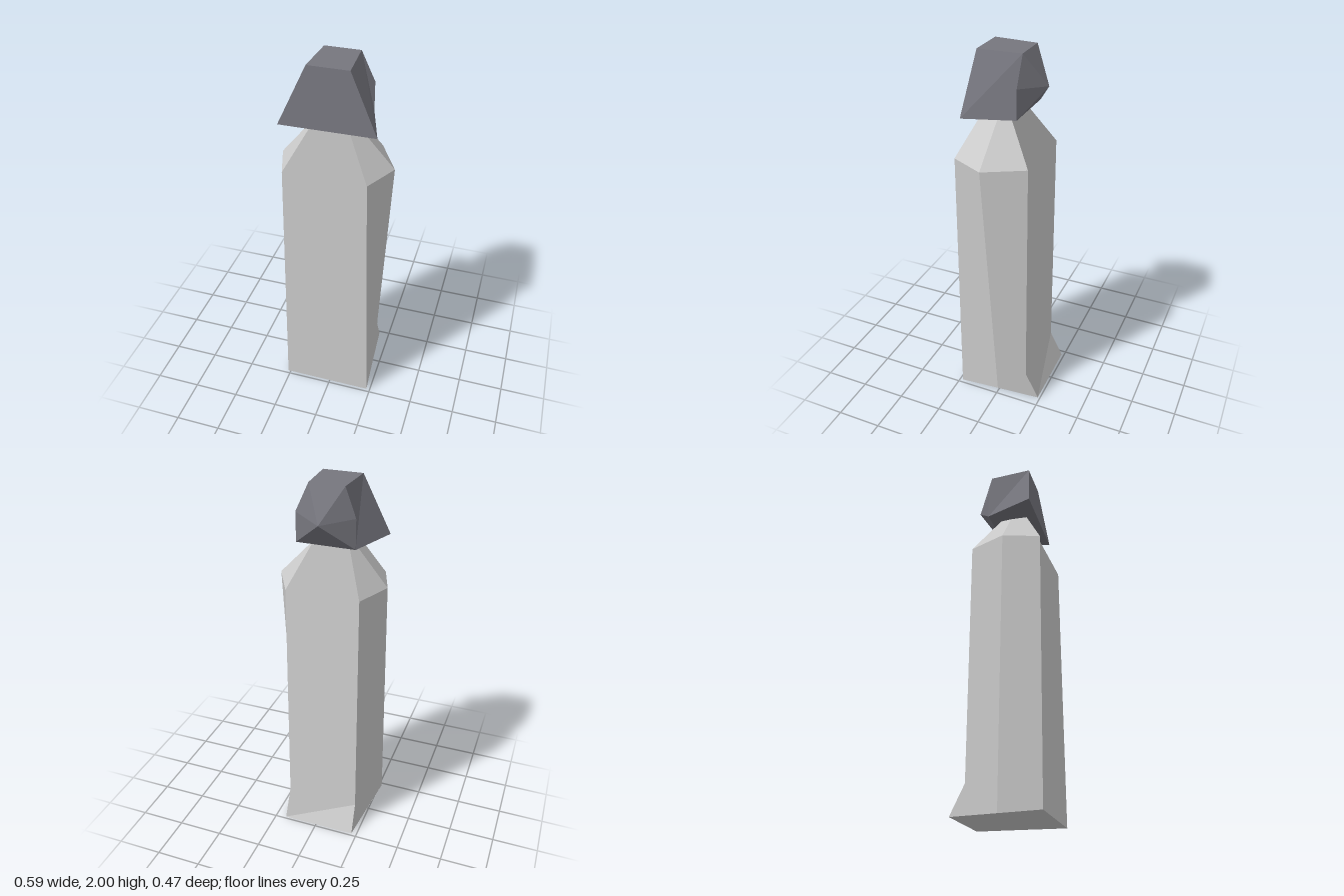
import * as THREE from 'three';

// Faceted mesh from corner points and outward counter-clockwise polygons.
// Each polygon is fanned from its first corner and shaded with one common normal.
function facetMesh(name, points, faces, color) {
  const corners = points.map((p) => new THREE.Vector3(...p));
  const pos = [], nor = [];
  for (const f of faces) {
    const n = new THREE.Vector3();
    f.forEach((k, i) => n.add(corners[k].clone().cross(corners[f[(i + 1) % f.length]])));
    n.normalize();
    for (let i = 1; i < f.length - 1; i++) {
      for (const k of [f[0], f[i], f[i + 1]]) {
        pos.push(...points[k]);
        nor.push(n.x, n.y, n.z);
      }
    }
  }
  const geo = new THREE.BufferGeometry();
  geo.setAttribute('position', new THREE.Float32BufferAttribute(pos, 3));
  geo.setAttribute('normal', new THREE.Float32BufferAttribute(nor, 3));
  const mesh = new THREE.Mesh(geo, new THREE.MeshStandardMaterial({ color }));
  mesh.name = name;
  return mesh;
}

// Six-cornered ring: front -x, front +x, mid +x, back +x, back -x, mid -x
const ring = (y, corners) => corners.map(([x, z]) => [x, y, z]);

function makeRobe() {
  const points = [
    // hem 0-5, shoulders 6-11, neck 12-17
    ...ring(0.005, [[-0.265, 0.232], [0.23, 0.232], [0.21, 0.01], [0.19, -0.237], [-0.22, -0.234], [-0.243, 0.01]]),
    ...ring(1.462, [[-0.23, 0.235], [0.2, 0.235], [0.293, 0.053], [0.18, -0.155], [-0.21, -0.155], [-0.295, 0.045]]),
    ...ring(1.683, [[-0.11, 0.13], [0.08, 0.13], [0.085, 0.04], [0.08, -0.02], [-0.11, -0.02], [-0.115, 0.04]]),
    // pinch above the rear hem 18, 19
    [0.19, 0.16, -0.16], [-0.215, 0.16, -0.16],
  ];
  const faces = [
    // front, back and flared rear hem
    [12, 6, 0, 1, 7, 13], [16, 15, 9, 18, 3, 19, 10], [3, 4, 19],
    // sides
    [2, 8, 7, 1], [2, 3, 18, 9, 8], [11, 5, 0, 6], [5, 11, 10, 19, 4],
    // sloping shoulders
    [7, 8, 14, 13], [8, 9, 15, 14], [10, 11, 17, 16], [11, 6, 12, 17],
    // hem and neck caps
    [0, 5, 4, 3, 2, 1], [12, 13, 14, 15, 16, 17],
  ];
  return facetMesh('robe', points, faces, 0xcccccc);
}

function makeHead() {
  const points = [
    // lower rim 0-3, crown 4-7
    [-0.26, 1.695, 0.185], [0.23, 1.695, 0.18], [0.147, 1.695, -0.08], [-0.162, 1.695, -0.08],
    [-0.12, 2, 0.15], [0.09, 2, 0.15], [0.077, 2, -0.08], [-0.107, 2, -0.08],
    // rear side points 8, 9, rear tip 10, crown edge middle 11
    [0.147, 1.85, -0.08], [-0.162, 1.85, -0.08], [-0.008, 1.83, -0.183], [-0.008, 2, -0.08],
  ];
  const faces = [
    // front, crown, underside
    [0, 1, 5, 4], [4, 5, 6, 7], [0, 3, 2, 1],
    // sides
    [6, 5, 1], [6, 1, 2, 8], [4, 7, 9, 3], [4, 3, 0],
  ];
  // pointed back of the head
  const rear = [2, 3, 9, 7, 11, 6, 8];
  rear.forEach((a, i) => faces.push([a, rear[(i + 1) % rear.length], 10]));
  return facetMesh('hoodedHead', points, faces, 0x76767e);
}

export function createModel() {
  const model = new THREE.Group();
  model.name = 'robedFigure';
  model.add(makeRobe(), makeHead());
  return model;
}
